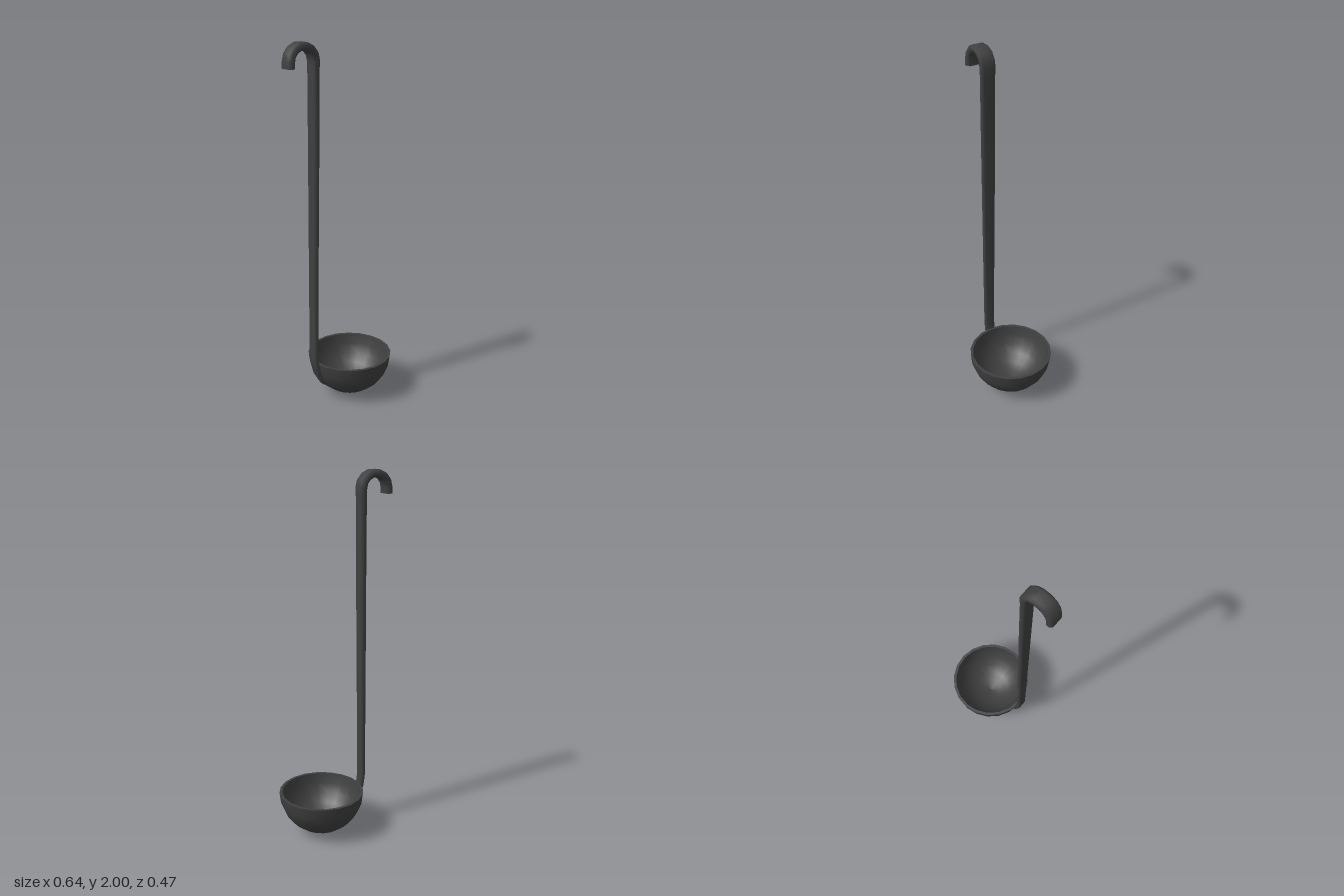
import * as THREE from 'three';
import { mergeGeometries } from 'three/addons/utils/BufferGeometryUtils.js';

const material = new THREE.MeshStandardMaterial({ color: 0x404040 });

// Hollow half sphere: outer skin, flat rim and inner skin keep crisp edges
function bowlGeometry(outer, inner) {
  const arc = (r) => Array.from({ length: 7 }, (_, i) => {
    const a = (i / 6) * Math.PI / 2;
    return new THREE.Vector2(r * Math.sin(a), -r * Math.cos(a));
  });
  const rim = [new THREE.Vector2(outer, 0), new THREE.Vector2(inner, 0)];
  return mergeGeometries([arc(outer), rim, arc(inner).reverse()].map((p) => new THREE.LatheGeometry(p, 20)));
}

// Strip with a chamfered rectangular section swept along stations [x, y, half thickness, half width]
function handleGeometry(stations) {
  const section = [[1, -0.7], [1, 0.7], [0.45, 1], [-0.45, 1], [-1, 0.7], [-1, -0.7], [-0.45, -1], [0.45, -1]];
  const n = section.length;
  const pos = [];
  const index = [];
  const last = stations.length - 1;
  const addRing = (i) => {
    const [x, y, t, w] = stations[i];
    const a = stations[Math.max(i - 1, 0)];
    const b = stations[Math.min(i + 1, last)];
    const tan = new THREE.Vector2(b[0] - a[0], b[1] - a[1]).normalize();
    for (const [u, v] of section) pos.push(x - tan.y * u * t, y + tan.x * u * t, v * w);
  };
  for (let i = 0; i <= last; i++) addRing(i);
  for (let i = 0; i < last; i++) {
    for (let j = 0; j < n; j++) {
      const a = i * n + j;
      const b = i * n + (j + 1) % n;
      index.push(a, b, a + n, b, b + n, a + n);
    }
  }
  // End caps on their own vertices
  for (const i of [0, last]) {
    const s = pos.length / 3;
    addRing(i);
    for (let j = 1; j < n - 1; j++) {
      if (i === 0) index.push(s, s + j + 1, s + j);
      else index.push(s, s + j, s + j + 1);
    }
  }
  const geo = new THREE.BufferGeometry();
  geo.setAttribute('position', new THREE.Float32BufferAttribute(pos, 3));
  geo.setIndex(index);
  geo.computeVertexNormals();
  return geo;
}

export function createModel() {
  const group = new THREE.Group();

  const bowl = new THREE.Mesh(bowlGeometry(0.237, 0.221), material);
  bowl.name = 'bowl';
  bowl.position.set(0.082, 0.24, 0);
  group.add(bowl);

  // Hook tip, then the half-circle hook
  const stations = [[-0.3, 1.875, 0.02, 0.04]];
  for (let i = 0; i <= 7; i++) {
    const a = Math.PI * (1 - i / 7);
    stations.push([-0.226 + 0.074 * Math.cos(a), 1.905 + 0.076 * Math.sin(a), 0.02, 0.04]);
  }
  // Long tapering shaft, then the tail hugging the bowl
  stations.push(
    [-0.153, 1.86, 0.018, 0.039],
    [-0.156, 1.5, 0.017, 0.038],
    [-0.161, 1.07, 0.016, 0.035],
    [-0.166, 0.63, 0.015, 0.032],
    [-0.169, 0.29, 0.014, 0.03],
    [-0.162, 0.235, 0.014, 0.03],
    [-0.146, 0.175, 0.013, 0.03],
    [-0.108, 0.1, 0.008, 0.026],
  );
  const handle = new THREE.Mesh(handleGeometry(stations), material);
  handle.name = 'hookedHandle';
  group.add(handle);

  return group;
}
